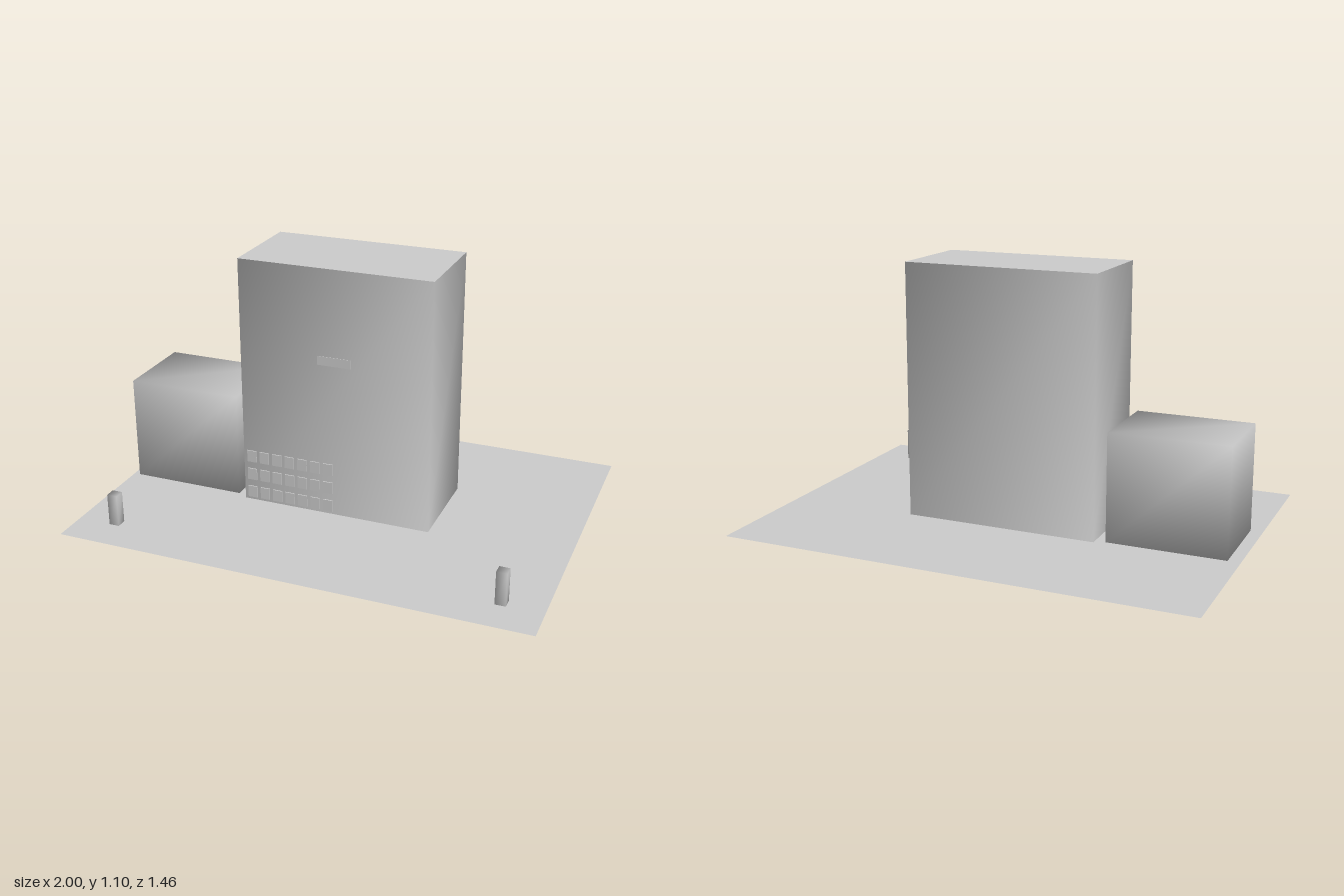
import * as THREE from 'three';
import { mergeVertices, mergeGeometries } from 'three/addons/utils/BufferGeometryUtils.js';

// Box from min/max corners
function span([x0, y0, z0], [x1, y1, z1]) {
  const g = new THREE.BoxGeometry(x1 - x0, y1 - y0, z1 - z0);
  g.translate((x0 + x1) / 2, (y0 + y1) / 2, (z0 + z1) / 2);
  return g;
}

// Share corners so the shading runs smoothly around the edges
function smooth(geometry) {
  geometry.deleteAttribute('normal');
  geometry.deleteAttribute('uv');
  const g = mergeVertices(geometry);
  g.computeVertexNormals();
  return g;
}

// Keep only the index range of the given box faces (0..5 = +x -x +y -y +z -z)
function faces(geometry, list) {
  const src = Array.from(geometry.index.array);
  geometry.setIndex(list.flatMap((f) => src.slice(f * 6, f * 6 + 6)));
  geometry.clearGroups();
  return geometry;
}

export function createModel() {
  const model = new THREE.Group();
  model.name = 'buildingSite';
  const grey = new THREE.MeshStandardMaterial({ color: 0xcccccc, side: THREE.DoubleSide });
  grey.name = 'concreteGrey';

  const add = (name, geometry, parent = model) => {
    const mesh = new THREE.Mesh(geometry, grey);
    mesh.name = name;
    parent.add(mesh);
    return mesh;
  };

  // Ground sheet
  const ground = new THREE.PlaneGeometry(2, 1.46);
  ground.rotateX(-Math.PI / 2);
  ground.translate(0, 0.004, 0);
  add('ground', ground);

  // Main tower: smooth walls with flat roof and floor
  const tower = new THREE.Group();
  tower.name = 'tower';
  model.add(tower);
  const low = [-0.415, 0.02, -0.23], high = [0.415, 1.1, 0.186];
  add('towerWalls', smooth(faces(span(low, high), [0, 1, 4, 5])), tower);
  add('towerRoofAndFloor', faces(span(low, high), [2, 3]), tower);

  // Sign plate on the front
  add('signPlate', span([-0.072, 0.692, 0.184], [0.072, 0.73, 0.188]), tower);

  // Window panels low on the front
  const panels = [];
  for (let row = 0; row < 3; row++) {
    for (let col = 0; col < 7; col++) {
      const x = -0.03 - col * 0.058, y = 0.058 + row * 0.084;
      panels.push(span([x - 0.021, y - 0.026, 0.184], [x + 0.021, y + 0.026, 0.191]));
    }
  }
  add('windowPanels', mergeGeometries(panels), tower);

  // Side annex
  add('annex', smooth(span([-0.957, 0.02, -0.21], [-0.459, 0.475, 0.161])));

  // Gate posts
  add('rightPost', smooth(span([-0.856, 0, 0.539], [-0.812, 0.142, 0.583])));
  add('leftPost', smooth(span([0.807, 0, 0.539], [0.851, 0.145, 0.583])));

  return model;
}
